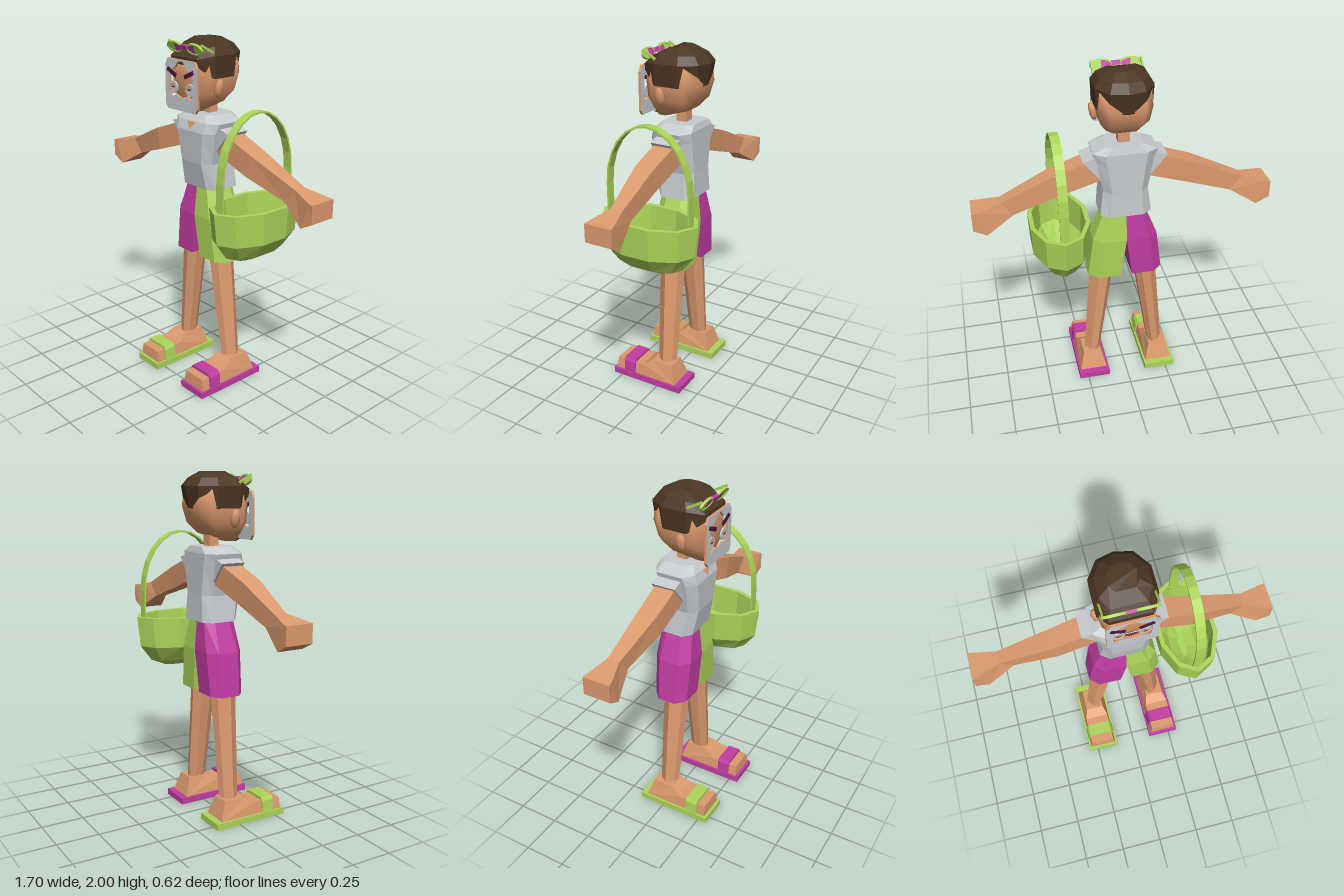
import * as THREE from 'three';

const mat = (name, color) => {
  const m = new THREE.MeshStandardMaterial({ color });
  m.name = name;
  return m;
};

// Closed solid through rings of [x, y, z] points; the winding is fixed by the sign of the volume
function loft(rings, smooth = false) {
  const n = rings[0].length, pos = rings.flat(2), idx = [];
  for (let r = 0; r < rings.length - 1; r++)
    for (let i = 0; i < n; i++) {
      const a = r * n + i, b = r * n + (i + 1) % n;
      idx.push(a, b, b + n, a, b + n, a + n);
    }
  const top = (rings.length - 1) * n;
  for (let i = 1; i < n - 1; i++) idx.push(0, i + 1, i, top, top + i, top + i + 1);
  const p = (i) => new THREE.Vector3().fromArray(pos, i * 3);
  let volume = 0;
  for (let i = 0; i < idx.length; i += 3) volume += p(idx[i]).dot(p(idx[i + 1]).cross(p(idx[i + 2])));
  if (volume < 0) idx.reverse();
  let g = new THREE.BufferGeometry();
  g.setAttribute('position', new THREE.Float32BufferAttribute(pos, 3));
  g.setIndex(idx);
  if (!smooth) g = g.toNonIndexed();
  g.computeVertexNormals();
  return g;
}

// Chamfered box section at height y
function section(y, hx, zf, zb, k = 0.35) {
  const c = (zf - zb) * k * 0.5, w = hx * (1 - k);
  return [[hx, y, zb + c], [hx, y, zf - c], [w, y, zf], [-w, y, zf],
    [-hx, y, zf - c], [-hx, y, zb + c], [-w, y, zb], [w, y, zb]];
}

// Four-sided limb ring, sloped from a top point to a bottom point
const limbRing = (s, xt, yt, xb, yb, zf, zb) =>
  [[s * xt, yt, zf], [s * xb, yb, zf], [s * xb, yb, zb], [s * xt, yt, zb]];

const ellipse = (T, x, y, rx, ry) => new T().absellipse(x, y, rx, ry, 0, Math.PI * 2);

export function createModel() {
  const model = new THREE.Group();
  const skin = mat('skin', 0xdc9a6e), lime = mat('lime', 0xadd65a), magenta = mat('magenta', 0xc23da3);
  const grey = mat('light grey', 0xc8cccf), brown = mat('hair brown', 0x4b3623);
  const purple = mat('dark purple', 0x45183f), maroon = mat('lip maroon', 0x7a2f3c);

  const add = (name, geometry, material, parent = model) => {
    const m = new THREE.Mesh(geometry, material);
    m.name = name;
    parent.add(m);
    return m;
  };
  const box = (name, material, w, h, d, x, y, z) =>
    add(name, new THREE.BoxGeometry(w, h, d).translate(x, y, z), material);
  const plate = (name, shape, material, depth, parent = model) =>
    add(name, new THREE.ExtrudeGeometry(shape, { depth, bevelEnabled: false, curveSegments: 10 }), material, parent);

  // Sleeveless-looking shirt body with an open collar
  add('shirt', loft([
    section(1.17, 0.145, 0.09, -0.13), section(1.32, 0.127, 0.12, -0.125), section(1.5, 0.165, 0.13, -0.125),
    section(1.555, 0.18, 0.112, -0.125), section(1.59, 0.105, 0.08, -0.115),
  ]), grey);
  const collar = new THREE.BufferGeometry();
  collar.setAttribute('position', new THREE.Float32BufferAttribute(
    [-0.035, 1.552, 0.118, 0, 1.508, 0.132, 0.035, 1.552, 0.118], 3));
  collar.computeVertexNormals();
  add('collarOpening', collar, skin);
  box('neck', skin, 0.065, 0.12, 0.06, 0, 1.62, -0.015);

  for (const s of [1, -1]) {
    const side = s > 0 ? 'left' : 'right';
    const shortsColor = s > 0 ? lime : magenta, shoeColor = s > 0 ? magenta : lime;

    // Shorts: chamfered on the outer side, meeting at the middle
    const shortsRing = (y, xi, xo, zf, zb) => [
      [xi, zf], [xi + (xo - xi) * 0.7, zf], [xo, zf - 0.05],
      [xo, zb + 0.05], [xi + (xo - xi) * 0.7, zb], [xi, zb]].map(([x, z]) => [s * x, y, z]);
    add(side + 'Shorts', loft([shortsRing(0.75, 0.033, 0.22, 0.09, -0.115),
      shortsRing(1.0, 0, 0.187, 0.1, -0.125), shortsRing(1.172, 0, 0.118, 0.08, -0.11)]), shortsColor);

    // Leg with a ridge along its outer side
    const legRing = (y, cx, h, zf, zb) => {
      const m = (zf + zb) / 2, d = (zf - zb) / 2;
      return [[1, 0], [0.3, 0.8], [-0.5, 1], [-1, 0.4], [-1, -0.4], [-0.5, -1], [0.3, -0.8]]
        .map(([x, z]) => [s * (cx + x * h), y, m + z * d]);
    };
    add(side + 'Leg', loft([legRing(0.13, 0.205, 0.045, 0.045, -0.068),
      legRing(0.78, 0.13, 0.068, 0.072, -0.08)]), skin);

    // Foot: side profile, narrowing upwards
    const profile = new THREE.Shape([[-0.115, 0.035], [0.29, 0.035], [0.285, 0.105], [0.11, 0.108],
      [0.055, 0.147], [-0.08, 0.147]].map(([z, y]) => new THREE.Vector2(z, y)));
    const foot = new THREE.ExtrudeGeometry(profile, { depth: 2, bevelEnabled: false });
    const p = foot.attributes.position;
    for (let i = 0; i < p.count; i++) {
      const z = p.getX(i), y = p.getY(i), u = 1 - p.getZ(i);
      const h = y > 0.12 ? 0.055 : y > 0.1 ? 0.073 : 0.083;
      p.setXYZ(i, s * 0.21 + u * h, y, z);
    }
    foot.computeVertexNormals();
    add(side + 'Foot', foot, skin);
    box(side + 'Sole', shoeColor, 0.19, 0.037, 0.46, s * 0.21, 0.0185, 0.076);
    const strapRing = (y, h) => [[h, 0.16], [h, 0.235], [-h, 0.235], [-h, 0.16]]
      .map(([x, z]) => [s * 0.21 + x, y, z]);
    add(side + 'Strap', loft([strapRing(0.03, 0.09), strapRing(0.105, 0.083), strapRing(0.125, 0.07)]), shoeColor);

    // Arm, hand and short sleeve
    add(side + 'Arm', loft([
      limbRing(s, 0.13, 1.525, 0.12, 1.39, 0.05, -0.075), limbRing(s, 0.4, 1.43, 0.37, 1.305, 0.052, -0.062),
      limbRing(s, 0.69, 1.303, 0.62, 1.222, 0.012, -0.06)]), skin);
    add(side + 'Hand', loft([
      limbRing(s, 0.69, 1.303, 0.62, 1.222, 0.012, -0.06), limbRing(s, 0.825, 1.275, 0.775, 1.13, 0.055, -0.095),
      limbRing(s, 0.85, 1.272, 0.85, 1.17, 0.06, -0.1)]), skin);
    add(side + 'Sleeve', loft([
      limbRing(s, 0.1, 1.55, 0.1, 1.38, 0.06, -0.085), limbRing(s, 0.235, 1.51, 0.145, 1.4, 0.06, -0.085)]), grey);

    // Ear
    const ear = add(side + 'Ear', new THREE.SphereGeometry(1, 7, 5), skin);
    ear.scale.set(0.022, 0.055, 0.03);
    ear.position.set(s * 0.152, 1.745, 0.05);
    ear.rotation.z = -s * 0.2;
  }

  // Head and hair
  add('head', loft([
    section(1.612, 0.045, 0.13, 0.07), section(1.66, 0.095, 0.145, -0.07), section(1.72, 0.132, 0.163, -0.125),
    section(1.81, 0.145, 0.168, -0.15), section(1.91, 0.138, 0.16, -0.14)], true), skin);
  const hairRing = (y, yFront, hx, zf, zb) => [
    [hx, zb * 0.35], [hx, zf * 0.5], [hx * 0.7, zf], [-hx * 0.7, zf], [-hx, zf * 0.5],
    [-hx, zb * 0.35], [-hx * 0.6, zb * 0.87], [0, zb], [hx * 0.6, zb * 0.87],
  ].map(([x, z]) => [x, z > zf * 0.8 ? yFront : y, z]);
  add('hair', loft([hairRing(1.8, 1.865, 0.152, 0.166, -0.155), hairRing(1.92, 1.905, 0.157, 0.168, -0.178),
    hairRing(1.965, 1.95, 0.13, 0.125, -0.14), hairRing(2.0, 1.985, 0.075, 0.06, -0.075)]), brown);
  add('mouth', loft([[[-0.05, 1.628, 0.14], [0, 1.608, 0.14], [0.05, 1.628, 0.14]],
    [[-0.05, 1.628, 0.152], [0, 1.608, 0.152], [0.05, 1.628, 0.152]]]), maroon);

  // Face plate: beard, sideburns and forehead around an open middle
  const outline = new THREE.Shape([[-0.11, 1.62], [0.12, 1.62], [0.138, 1.645], [0.138, 1.86], [0.115, 1.895],
    [-0.11, 1.895], [-0.13, 1.86], [-0.13, 1.645]].map(([x, y]) => new THREE.Vector2(x, y)));
  outline.holes.push(new THREE.Path([[-0.095, 1.72], [-0.085, 1.685], [-0.04, 1.705], [0, 1.69], [0.05, 1.705],
    [0.09, 1.685], [0.1, 1.72], [0.1, 1.83], [0.05, 1.85], [0.02, 1.885], [-0.02, 1.885], [-0.05, 1.85],
    [-0.095, 1.83]].map(([x, y]) => new THREE.Vector2(x, y))));
  plate('beardPlate', outline, [grey, skin], 0.014).position.z = 0.177;
  for (const s of [1, -1]) {
    const cx = s * 0.068;
    plate('eye', ellipse(THREE.Shape, cx, 1.74, 0.034, 0.034), grey, 0.008).position.z = 0.178;
    plate('eyelid', ellipse(THREE.Shape, cx, 1.75, 0.024, 0.013), skin, 0.004).position.z = 0.184;
    plate('pupil', ellipse(THREE.Shape, cx, 1.743, 0.012, 0.004), brown, 0.004).position.z = 0.186;
    const brow = box('eyebrow', purple, 0.078, 0.022, 0.006, 0, 0, 0);
    brow.position.set(s * 0.072, 1.823, 0.193);
    brow.rotation.z = s * 0.42;
  }

  // Sunglasses pushed up on the hair
  const glasses = new THREE.Group();
  glasses.name = 'sunglasses';
  glasses.position.set(0, 1.957, 0.153);
  glasses.rotation.x = 0.4;
  model.add(glasses);
  for (const s of [1, -1]) {
    const rim = ellipse(THREE.Shape, s * 0.08, 0, 0.064, 0.033);
    rim.holes.push(ellipse(THREE.Path, s * 0.08, 0, 0.053, 0.024));
    plate('rim', rim, lime, 0.014, glasses);
    for (const [name, material, out] of [['outerLens', lime, s], ['innerLens', magenta, -s]]) {
      const half = new THREE.Shape().absellipse(s * 0.08, 0, 0.056, 0.027,
        out > 0 ? -Math.PI / 2 : Math.PI / 2, out > 0 ? Math.PI / 2 : Math.PI * 1.5);
      plate(name, half, material, 0.006, glasses).position.z = 0.004;
    }
    const temple = box('temple', lime, 0.01, 0.013, 0.13, 0, 0, 0);
    temple.position.set(s * 0.137, 1.95, 0.105);
    temple.rotation.x = -0.5;
  }
  add('bridge', new THREE.BoxGeometry(0.05, 0.026, 0.016).translate(0, 0.006, 0.007), magenta, glasses);

  // Basket: ten-sided bowl with a thick wall
  const cx = 0.373, cz = -0.016;
  const bowlRing = (y, hx, hz) => Array.from({ length: 10 }, (_, i) => {
    const a = i * Math.PI / 5;
    return [cx + hx * Math.sin(a), y, cz + hz * Math.cos(a)];
  });
  add('basket', loft([bowlRing(0.832, 0.03, 0.11), bowlRing(0.872, 0.1, 0.205), bowlRing(0.965, 0.168, 0.275),
    bowlRing(1.145, 0.176, 0.295), bowlRing(1.145, 0.15, 0.268), bowlRing(0.97, 0.142, 0.25),
    bowlRing(0.89, 0.08, 0.18), bowlRing(0.855, 0.02, 0.1)]), lime);

  // Basket handle: a flat strip bent into an arch
  const arch = (r, h) => Array.from({ length: 13 }, (_, i) => {
    const a = i * Math.PI / 12;
    return new THREE.Vector2(r * Math.cos(a), 1.3 + h * Math.sin(a));
  });
  const strip = new THREE.Shape([new THREE.Vector2(0.257, 1.08), ...arch(0.257, 0.355),
    new THREE.Vector2(-0.257, 1.08), new THREE.Vector2(-0.247, 1.08), ...arch(0.247, 0.345).reverse(),
    new THREE.Vector2(0.247, 1.08)]);
  const handle = plate('basketHandle', strip, lime, 0.052);
  handle.rotation.y = -Math.PI / 2;
  handle.position.set(cx + 0.026, 0, cz);

  return model;
}
